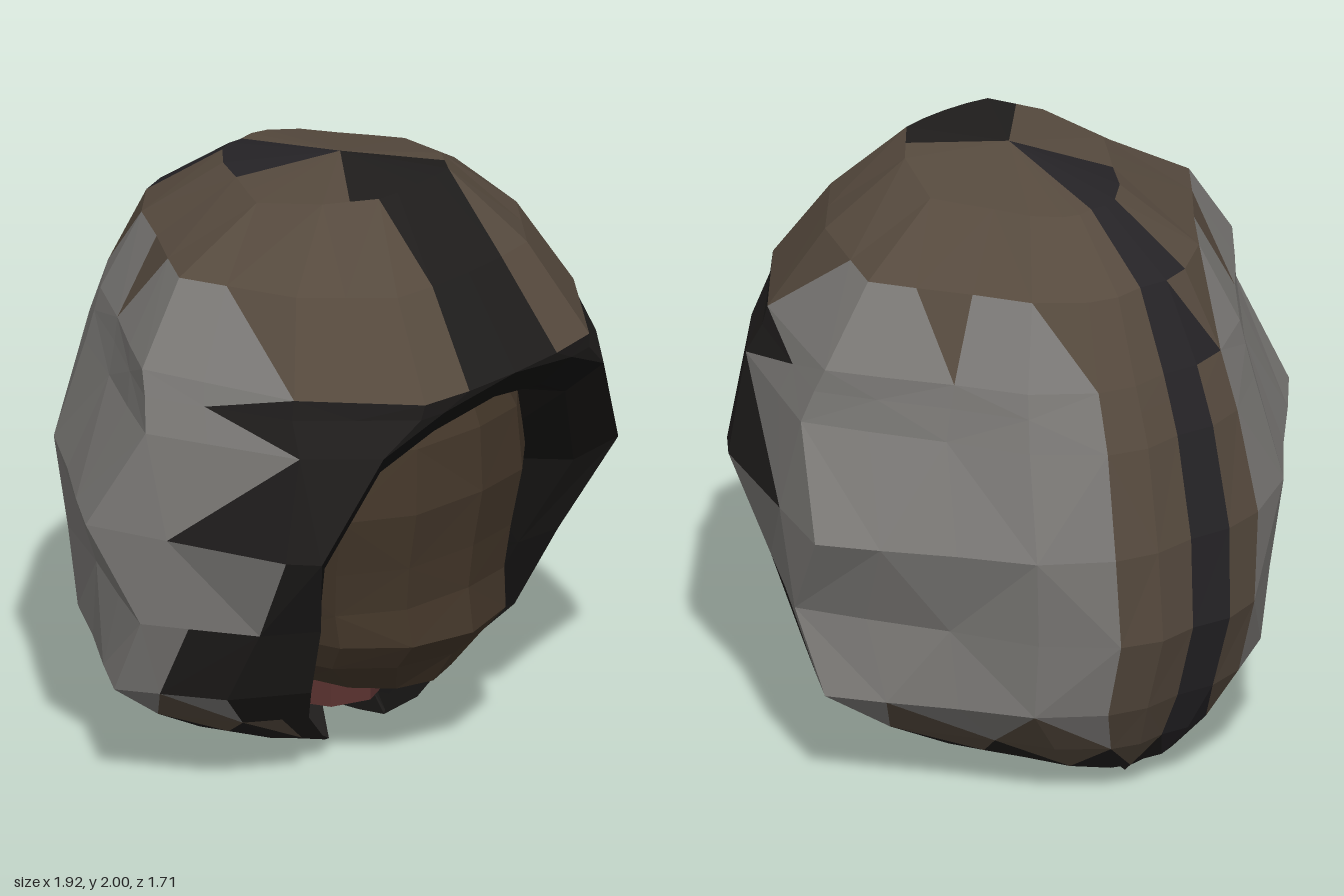
import * as THREE from 'three';

const material = (color) => new THREE.MeshStandardMaterial({ color, flatShading: true, side: THREE.DoubleSide });

// Non-indexed mesh from a list of triangles (each three Vector3)
function meshOf(name, triangles, color) {
  const geometry = new THREE.BufferGeometry().setFromPoints(triangles.flat());
  geometry.computeVertexNormals();
  const mesh = new THREE.Mesh(geometry, material(color));
  mesh.name = name;
  return mesh;
}

// Triangles between neighbouring cross-sections, with alternating diagonals
function loft(rows) {
  const out = [];
  for (let i = 0; i + 1 < rows.length; i++) {
    for (let j = 0; j + 1 < rows[i].length; j++) {
      const a = rows[i][j], b = rows[i + 1][j], c = rows[i + 1][j + 1], d = rows[i][j + 1];
      if ((i + j) % 2) out.push([a, b, c], [a, c, d]);
      else out.push([a, b, d], [b, c, d]);
    }
  }
  return out.filter(([a, b, c]) => b.clone().sub(a).cross(c.clone().sub(a)).length() > 1e-6);
}

const mirror = (triangles) => triangles.map((t) => t.map((p) => new THREE.Vector3(-p.x, p.y, p.z)).reverse());

// Unit outline of the left half: blunt front, flat sides, tapered back with a centre groove
const FRONT = [[0, 1], [0.25, 0.99], [0.47, 0.96], [0.64, 0.77], [0.8, 0.59], [0.92, 0.24], [1, 0]];
const BACK = [[0.86, -0.23], [0.69, -0.49], [0.52, -0.78], [0.3, -0.97], [0.15, -1.02], [0, -1]];

// Hood rings: y, half width, widest z, front z, back z, x of the opening's edge, front lift
const RINGS = [
  [2.0, 0, 0.1, 0.1, 0.1, 0, 0],
  [1.92, 0.35, 0.06, 0.43, -0.32, 0, 0.06],
  [1.74, 0.65, 0, 0.65, -0.57, 0, 0],
  [1.48, 0.825, 0, 0.85, -0.69, 0, -0.03],
  [1.4, 0.845, 0.03, 0.84, -0.72, 0.3, 0],
  [1.29, 0.875, 0.06, 0.91, -0.76, 0.52, 0],
  [0.95, 0.96, -0.12, 1.04, -0.83, 0.7, 0],
  [0.64, 0.9, 0.06, 0.65, -0.84, 0.56, 0],
  [0.37, 0.88, -0.07, 0.48, -0.76, 0.48, 0],
  [0.2, 0.64, -0.1, 0.32, -0.68, 0.34, 0],
  [0.08, 0.42, -0.12, 0.27, -0.59, 0.22, 0],
  [0.05, 0.31, -0.12, 0.18, -0.5, 0.13, -0.02],
  [0.13, 0.22, -0.08, 0.14, -0.4, 0.11, 0],
  [0.35, 0.2, -0.06, 0.12, -0.34, 0.11, 0],
];

// Outline points in front of the opening's edge are gathered onto that edge
function hoodRing([y, w, zc, zf, zb, edgeX, lift]) {
  const cut = w ? edgeX / w : 0;
  const k = FRONT.findIndex((p) => p[0] > cut);
  const [[x0, z0], [x1, z1]] = [FRONT[k - 1], FRONT[k]];
  const edge = [cut, z0 + (z1 - z0) * (cut - x0) / (x1 - x0)];
  const front = FRONT.map((p) => (p[0] < cut ? edge : p));
  return [...front, ...BACK].map(([x, z]) =>
    new THREE.Vector3(w * x, y + lift * Math.max(0, z), zc + z * (z > 0 ? zf - zc : zc - zb)));
}

// Shade of a hood panel from where it lies
function panelName([a, b, c]) {
  const m = a.clone().add(b).add(c).divideScalar(3);
  const x = Math.abs(m.x);
  if (m.y < 0.13 || (m.z > 0.4 && m.y < 1.47) || (m.z > 0.2 && m.y < 0.6)) return 'hoodFront';
  if (m.z > 0.25 && x < 0.2) return 'hoodFront';
  if (m.x < 0 && x < 0.16 && m.z < 0.05) return 'hoodBackStripe';
  if (m.y < 0.3) return 'hoodCrown';
  return x > 0.6 || (m.z < -0.35 && x > 0.28) ? 'hoodSides' : 'hoodCrown';
}

function createHood() {
  const hood = new THREE.Group();
  hood.name = 'hood';
  const rings = RINGS.map(hoodRing);
  const half = loft(rings);
  const panels = { hoodFront: [], hoodBackStripe: [], hoodSides: [], hoodCrown: [] };
  for (const t of [...half, ...mirror(half)]) panels[panelName(t)].push(t);
  const colors = { hoodFront: 0x1f1d1c, hoodBackStripe: 0x252326, hoodSides: 0x7c7a77, hoodCrown: 0x564a3e };
  for (const [name, list] of Object.entries(panels)) hood.add(meshOf(name, list, colors[name]));

  // Turned-in lip and lining around the opening
  const edge = rings.slice(3, 12).map((ring) => ring[0]);
  const lip = edge.map((p) => new THREE.Vector3(p.x * 0.84, p.y * 0.925, p.z - 0.09));
  const lining = lip.map((p) => new THREE.Vector3(p.x * 0.68, p.y * 0.98, p.z - 0.3));
  const inside = loft([edge, lip, lining]);
  hood.add(meshOf('hoodLining', [...inside, ...mirror(inside)], 0x121110));
  return hood;
}

// Face rows: y, half width, front z, depth
const FACE = [
  [1.42, 0.36, 0.62, 0.35], [1.22, 0.47, 0.7, 0.42], [1.0, 0.5, 0.71, 0.42],
  [0.8, 0.48, 0.67, 0.42], [0.65, 0.46, 0.65, 0.42], [0.5, 0.44, 0.67, 0.45],
  [0.4, 0.4, 0.58, 0.4], [0.285, 0.26, 0.5, 0.32], [0.28, 0.14, 0.32, 0.15],
];

function createFace() {
  const rows = FACE.map(([y, w, zf, depth]) => Array.from({ length: 7 }, (_, j) => {
    const angle = (j / 6 - 0.5) * Math.PI;
    // Outer columns droop a little, leaving a ridge down the middle
    const droop = y > 0.6 ? 0.04 * Math.abs(Math.sin(angle)) : 0;
    return new THREE.Vector3(w * Math.sin(angle), y - droop, zf - depth * (1 - Math.cos(angle)));
  }));
  return meshOf('face', loft(rows), 0x44372a);
}

export function createModel() {
  const model = new THREE.Group();
  model.name = 'hoodedHead';
  model.add(createHood(), createFace());

  // Neck under the chin
  const neck = new THREE.Mesh(new THREE.CylinderGeometry(0.18, 0.18, 0.38, 8), material(0x5a3230));
  neck.name = 'neck';
  neck.position.set(0, 0.33, 0.05);
  model.add(neck);

  // Small pointed tuft at the nape
  const tuft = new THREE.Mesh(new THREE.ConeGeometry(0.1, 0.1, 5), material(0x1f1d1c));
  tuft.name = 'napeTuft';
  tuft.rotation.x = Math.PI;
  tuft.position.set(0, 0.05, -0.49);
  model.add(tuft);
  return model;
}
